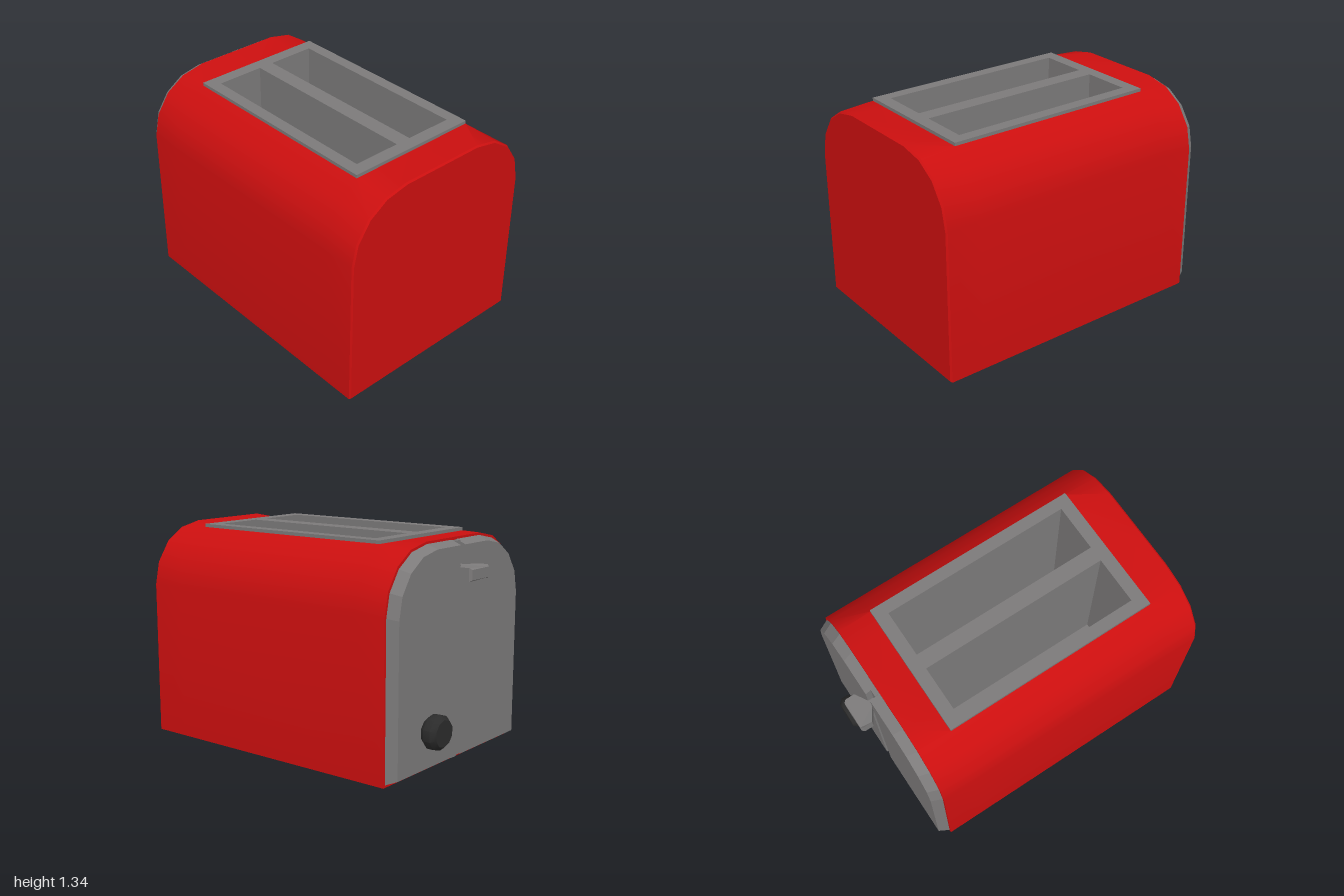
import * as THREE from 'three';
import { toCreasedNormals } from 'three/addons/utils/BufferGeometryUtils.js';

const paint = (name, color) => {
  const m = new THREE.MeshStandardMaterial({ color });
  m.name = name;
  return m;
};

export function createModel() {
  const red = paint('red enamel', 0xcc0f0f);
  const grey = paint('grey metal', 0x7c7a7a);
  const black = paint('black plastic', 0x2b2b2b);
  const group = new THREE.Group();
  group.name = 'toaster';
  const add = (name, geometry, material, x = 0, y = 0, z = 0) => {
    const mesh = new THREE.Mesh(geometry, material);
    mesh.name = name;
    mesh.position.set(x, y, z);
    group.add(mesh);
    return mesh;
  };

  // Arched body: cross-sections along z, with an opening under the top frame
  const side = [[0.665, 0], [0.665, 0.96], [0.635, 1.1], [0.55, 1.225]];
  const endHalf = [...side, [0.43, 1.303], [0.28, 1.334]];
  const midHalf = [...side, [0.43, 1.318], [0.28, 1.318]];
  const loop = half => [...half, ...half.map(([x, y]) => [-x, y]).reverse()];
  const inset = pts => pts.map(([x, y]) => [x * 0.988, 0.66 + (y - 0.66) * 0.988]);
  const end = loop(endHalf), mid = loop(midHalf);
  const sections = [
    [-0.815, end], [-0.6, mid], [0.77, mid], [0.99, end], [1, inset(end)],
  ];
  const n = end.length, last = sections.length - 1;
  const positions = [], index = [];
  sections.forEach(([z, pts]) => pts.forEach(([x, y]) => positions.push(x, y, z)));
  for (let k = 0; k < last; k++) {
    for (let i = 0; i < n; i++) {
      if (k === 1 && i >= 4 && i <= 6) continue; // opening
      const j = (i + 1) % n;
      const a = k * n + i, b = k * n + j, c = b + n, d = a + n;
      index.push(a, b, c, a, c, d);
    }
  }
  for (let i = 1; i < n - 1; i++) {
    index.push(0, i + 1, i, last * n, last * n + i, last * n + i + 1);
  }
  const body = new THREE.BufferGeometry();
  body.setAttribute('position', new THREE.Float32BufferAttribute(positions, 3));
  body.setIndex(index);
  add('body', toCreasedNormals(body, 0.6), red);

  // Top frame with two slots
  const rect = (Type, x0, x1, z0, z1) => new Type([
    new THREE.Vector2(x0, -z1), new THREE.Vector2(x1, -z1),
    new THREE.Vector2(x1, -z0), new THREE.Vector2(x0, -z0),
  ]);
  const frame = rect(THREE.Shape, -0.43, 0.43, -0.6, 0.77);
  frame.holes.push(rect(THREE.Path, -0.355, -0.05, -0.52, 0.69));
  frame.holes.push(rect(THREE.Path, 0.05, 0.355, -0.52, 0.69));
  const frameGeo = new THREE.ExtrudeGeometry(frame, { depth: 0.022, bevelEnabled: false });
  frameGeo.rotateX(-Math.PI / 2);
  add('topFrame', frameGeo, grey, 0, 1.316, 0);

  // Slot wells: inward-facing boxes without a lid
  for (const s of [-1, 1]) {
    const well = new THREE.BoxGeometry(0.305, 1.0, 1.21);
    well.scale(-1, 1, 1);
    well.setIndex(Array.from(well.index.array).filter((_, i) => i < 12 || i > 17));
    well.computeVertexNormals();
    add(s > 0 ? 'leftSlotWell' : 'rightSlotWell', well, grey, s * 0.2025, 0.818, 0.085);
  }

  // Back panel: two chamfered halves with a lever groove between them
  const groove = 0.024;
  const outline = [[groove, 0.015], [0.65, 0.015], [0.65, 0.955], [0.622, 1.09],
    [0.54, 1.21], [0.42, 1.29], [0.275, 1.32], [groove, 1.32]];
  for (const s of [-1, 1]) {
    const pts = outline.map(([x, y]) => new THREE.Vector2(s * x, y));
    const half = new THREE.ExtrudeGeometry(new THREE.Shape(pts), { depth: 0.065, bevelEnabled: false });
    const p = half.attributes.position;
    for (let i = 0; i < p.count; i++) {
      if (p.getZ(i) > 0.01) continue;
      p.setX(i, s * (groove + (Math.abs(p.getX(i)) - groove) * 0.953));
      p.setY(i, 0.667 + (p.getY(i) - 0.667) * 0.96);
    }
    half.computeVertexNormals();
    add(s > 0 ? 'leftBackPanel' : 'rightBackPanel', half, grey, 0, 0, -0.88);
  }
  add('leverGroove', new THREE.BoxGeometry(groove * 2, 1.3, 0.03), grey, 0, 0.667, -0.83);

  // Lever: stem in the groove and a flared, chamfered handle
  const lever = new THREE.Shape([[-0.022, 0.84], [0.022, 0.84], [0.022, 0.88], [0.1, 0.927],
    [0.1, 0.985], [0.088, 1], [-0.088, 1], [-0.1, 0.985], [-0.1, 0.927], [-0.022, 0.88],
  ].map(([x, y]) => new THREE.Vector2(x, y)));
  const leverGeo = new THREE.ExtrudeGeometry(lever, { depth: 0.08, bevelEnabled: false });
  const lp = leverGeo.attributes.position;
  for (let i = 0; i < lp.count; i++) {
    if (lp.getY(i) > 0.99) lp.setZ(i, 0.04 + (lp.getZ(i) - 0.04) * 0.75);
  }
  leverGeo.rotateX(-Math.PI / 2);
  leverGeo.computeVertexNormals();
  add('lever', leverGeo, grey, 0, 1.1, 0);

  // Browning knob
  const profile = [[0, 0], [0.085, 0], [0.11, 0.03], [0.11, 0.075], [0.085, 0.105], [0, 0.105]]
    .map(([r, h]) => new THREE.Vector2(r, h));
  const knob = new THREE.LatheGeometry(profile, 10);
  knob.rotateX(-Math.PI / 2);
  knob.scale(1, 0.95, 1);
  add('knob', toCreasedNormals(knob, 0.7), black, 0.32, 0.265, -0.88);

  return group;
}
